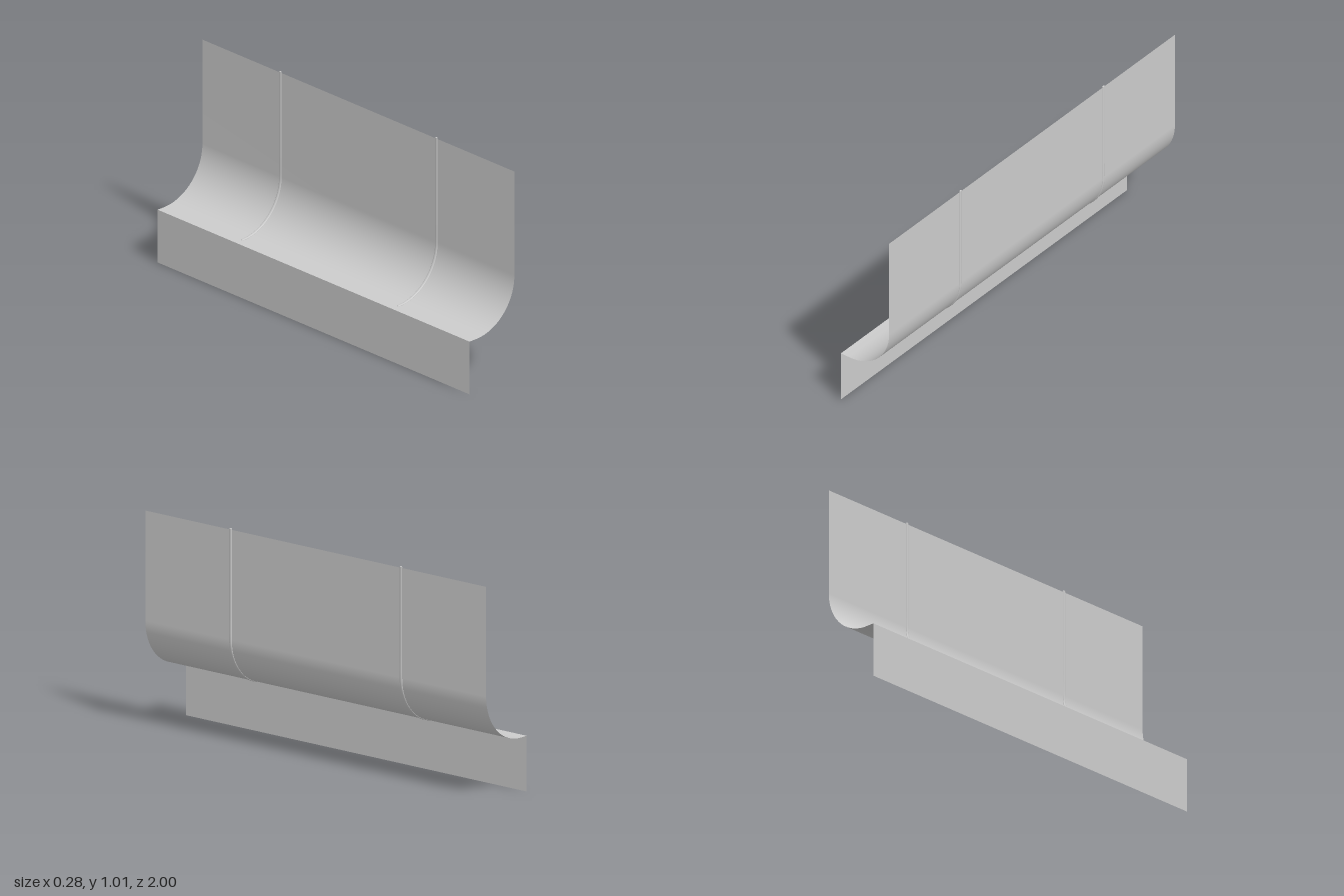
import * as THREE from 'three';

const LENGTH = 2;
const WALL_X = 0.137, LIP_X = -0.14;         // upright wall and lower flange
const CX = -0.1, CY = 0.494, R = WALL_X - CX; // quarter bend

// Points of the bend, from the wall down to the horizontal lip
function bendPoints(n) {
  return Array.from({ length: n + 1 }, (_, i) => {
    const a = (i / n) * Math.PI / 2;
    return new THREE.Vector2(CX + R * Math.cos(a), CY - R * Math.sin(a));
  });
}

// Thin sheet: a profile in x/y drawn out along z
function sheet(profile, material, name) {
  const geo = new THREE.PlaneGeometry(LENGTH, 1, 1, profile.length - 1);
  const pos = geo.attributes.position;
  for (let i = 0; i < pos.count; i++) {
    const p = profile[Math.floor(i / 2)];
    pos.setXYZ(i, p.x, p.y, -pos.getX(i));
  }
  geo.computeVertexNormals();
  const mesh = new THREE.Mesh(geo, material);
  mesh.name = name;
  return mesh;
}

export function createModel() {
  const model = new THREE.Group();
  model.name = 'curvedPanel';
  const material = new THREE.MeshStandardMaterial({ color: 0xcccccc, side: THREE.DoubleSide });

  // Upright wall sweeping into the curved trough
  const lipY = CY - R;
  model.add(sheet([
    new THREE.Vector2(WALL_X, 1),
    ...bendPoints(32),
    new THREE.Vector2(LIP_X, lipY),
  ], material, 'curvedSheet'));

  // Flange hanging from the lip
  model.add(sheet([new THREE.Vector2(LIP_X, lipY), new THREE.Vector2(LIP_X, 0)], material, 'lowerFlange'));

  // Two flattened ribs following the wall and bend
  const points = [1.004, 0.87, 0.74, 0.61].map(y => new THREE.Vector3(WALL_X, y, 0));
  for (const p of bendPoints(12)) points.push(new THREE.Vector3(p.x, p.y, 0));
  const path = new THREE.CatmullRomCurve3(points);
  const radius = 0.0035, widen = 2.2;
  for (const z of [-0.5, 0.5]) {
    const rib = new THREE.Group();
    rib.name = z > 0 ? 'frontRib' : 'backRib';
    const bar = new THREE.Mesh(new THREE.TubeGeometry(path, 80, radius, 10), material);
    bar.name = 'ribBar';
    rib.add(bar);
    for (const end of [points[0], points[points.length - 1]]) {
      const cap = new THREE.Mesh(new THREE.SphereGeometry(radius, 10, 8), material);
      cap.name = 'ribEnd';
      cap.position.copy(end);
      rib.add(cap);
    }
    rib.scale.z = widen;
    rib.position.z = z;
    model.add(rib);
  }
  return model;
}
